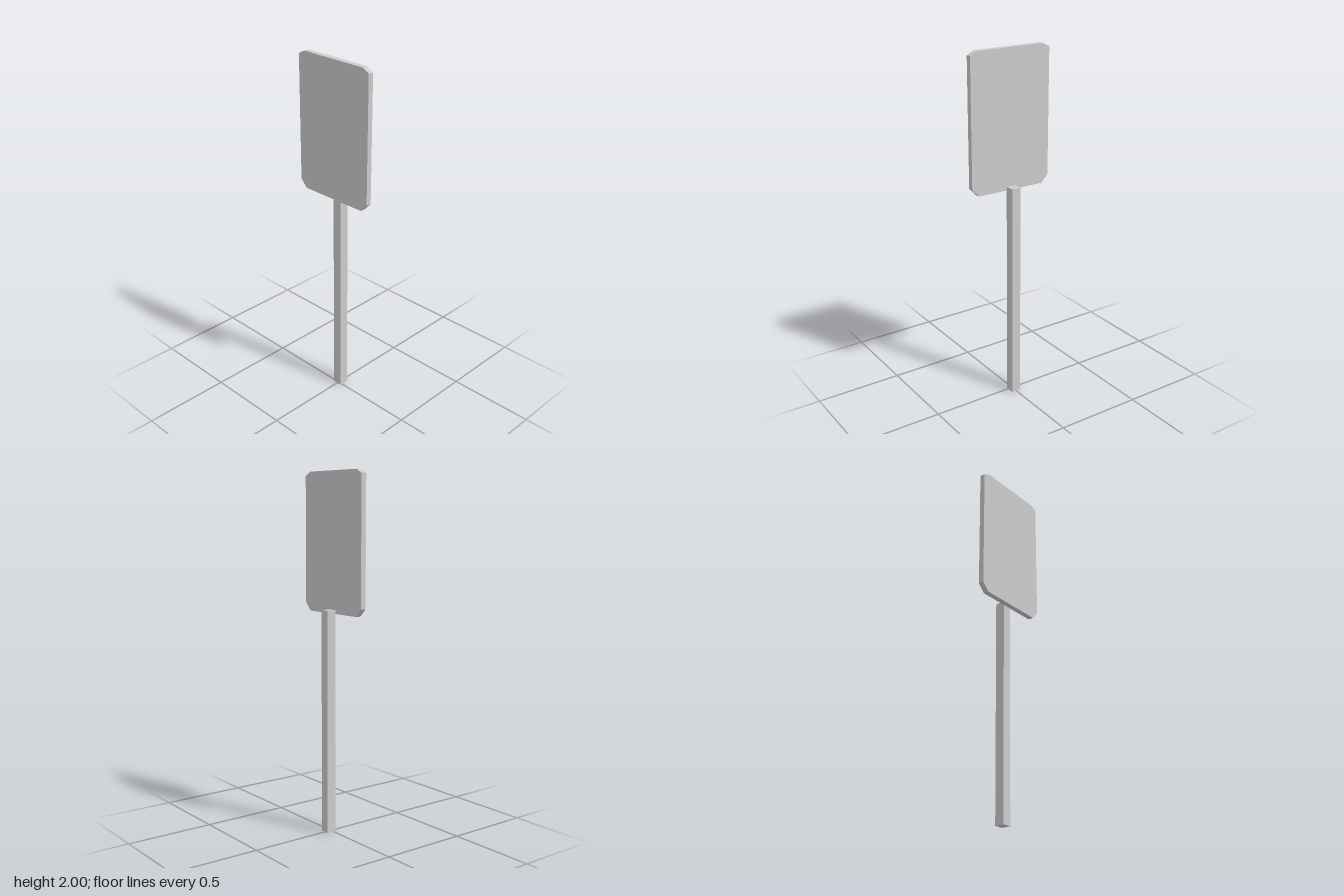
import * as THREE from 'three';

export function createModel() {
  const group = new THREE.Group();
  const material = new THREE.MeshStandardMaterial({ color: 0xcccccc, flatShading: true });

  // Square post standing behind the panel
  const postHeight = 1.254, postSize = 0.054, back = -0.0425;
  const post = new THREE.Mesh(new THREE.BoxGeometry(postSize, postHeight, postSize), material);
  post.name = 'post';
  post.position.set(0, postHeight / 2, back + postSize / 2);
  group.add(post);

  // Flat panel with clipped corners, shallower at the top
  const half = 0.244, clip = 0.041, bottom = 1.233, top = 2;
  const lowClip = 0.043, highClip = 0.021;
  const outline = new THREE.Shape([
    [half - clip, bottom], [half, bottom + lowClip],
    [half, top - highClip], [half - clip, top],
    [clip - half, top], [-half, top - highClip],
    [-half, bottom + lowClip], [clip - half, bottom],
  ].map(([x, y]) => new THREE.Vector2(x, y)));
  const panel = new THREE.Mesh(
    new THREE.ExtrudeGeometry(outline, { depth: 0.031, bevelEnabled: false }), material);
  panel.name = 'signPanel';
  panel.position.z = back + postSize;
  group.add(panel);

  return group;
}
